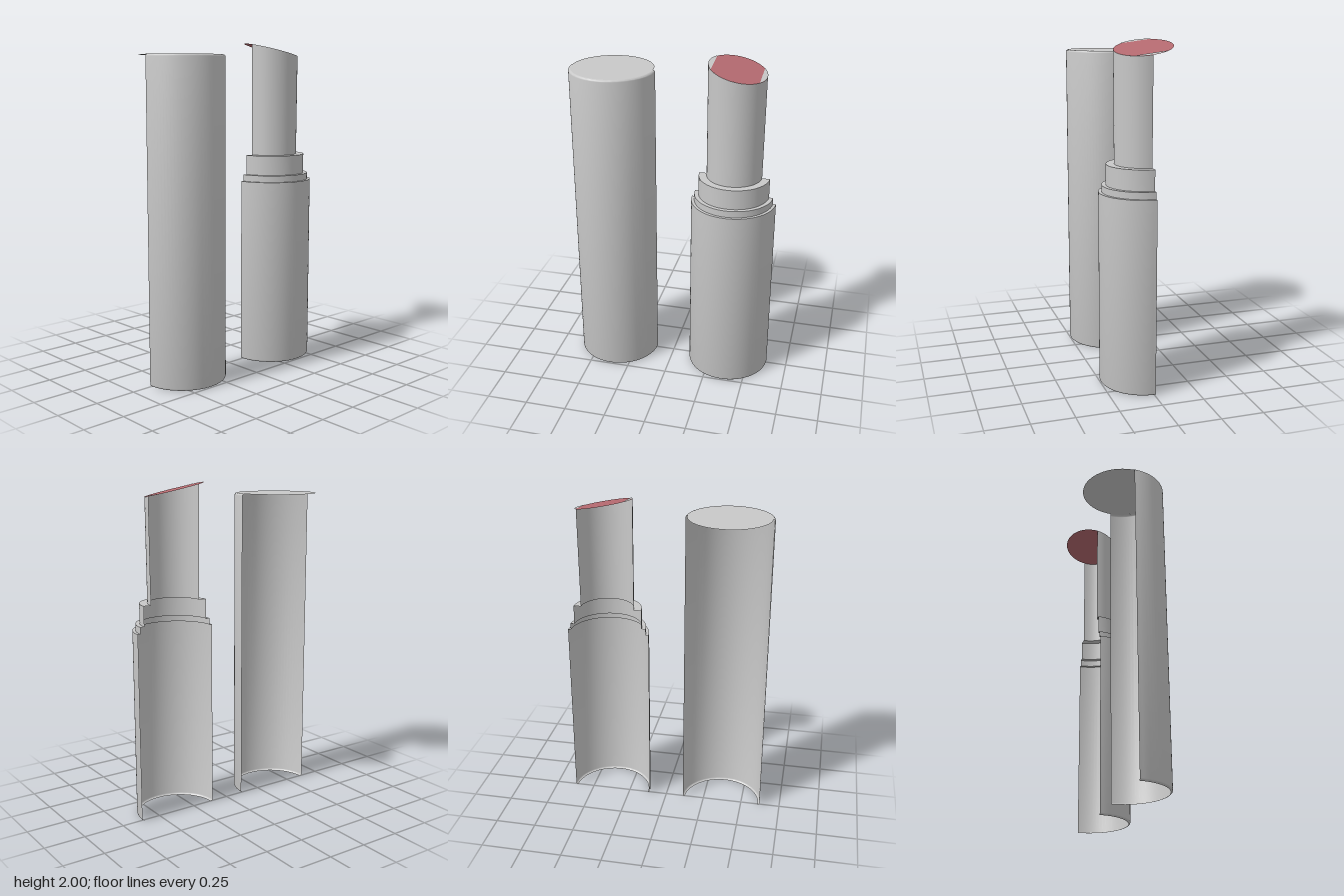
import * as THREE from 'three';
import { toCreasedNormals } from 'three/addons/utils/BufferGeometryUtils.js';

const SEGMENTS = 40;
const R = 0.255;        // outer radius of cap and base
const LIP = 0.243;      // radius where the rounded edge ends
const STICK = 0.168;    // radius of the product
const Z = -0.006;       // axis position

const slantY = (x, z) => 1.96 - 0.2 * x - 0.13 * z;

export function createModel() {
  const grey = new THREE.MeshStandardMaterial({ name: 'grey casing', color: 0xc8c8c8, side: THREE.DoubleSide });
  const red = new THREE.MeshStandardMaterial({ name: 'rose product', color: 0xb56a70, side: THREE.DoubleSide });
  const greyFace = new THREE.MeshStandardMaterial({ name: 'grey top face', color: 0xc8c8c8 });

  const add = (parent, name, geometry, material) => {
    const mesh = new THREE.Mesh(geometry, material);
    mesh.name = name;
    parent.add(mesh);
    return mesh;
  };

  // Front half of a turned shell, open at the back
  const halfShell = (profile) => toCreasedNormals(new THREE.LatheGeometry(
    profile.map(([r, y]) => new THREE.Vector2(r, y)), SEGMENTS, -Math.PI / 2, Math.PI), 0.7);

  // Small rounded lip at the foot of both tubes
  const foot = [[LIP, 0], [0.249, 0.002], [0.2535, 0.006], [R, 0.012]];

  // Cap: half tube with a full round top
  const cap = new THREE.Group();
  cap.name = 'cap';
  cap.position.set(-0.368, 0, Z);
  const capHead = foot.map(([r, y]) => [r, 1.92 - y]).reverse();
  add(cap, 'capTube', halfShell([...foot, ...capHead]), grey);
  const lid = new THREE.CircleGeometry(LIP, 64);
  lid.rotateX(-Math.PI / 2);
  add(cap, 'capTop', lid, grey).position.y = 1.92;

  // Base: half tube, stepped collar and product shell
  const base = new THREE.Group();
  base.name = 'base';
  base.position.set(0.367, 0, Z);
  add(base, 'baseTube', halfShell([...foot, [R, 1.15], [0.237, 1.15]]), grey);
  add(base, 'lowerCollar', halfShell([[0.237, 1.15], [0.237, 1.19], [0.212, 1.19]]), grey);
  add(base, 'upperCollar', halfShell([[0.212, 1.19], [0.212, 1.31], [0.165, 1.31]]), grey);

  // Lay every vertex above the collar onto the slanted cut
  const slant = (geometry, lift = 0) => {
    const p = geometry.attributes.position;
    for (let i = 0; i < p.count; i++) {
      if (p.getY(i) > 1.5) p.setY(i, slantY(p.getX(i), p.getZ(i)) + lift);
    }
    return geometry;
  };
  add(base, 'productTube', slant(halfShell([[0.165, 1.31], [STICK, 1.9]])), grey);

  const flat = (geometry, lift) => {
    geometry.rotateX(-Math.PI / 2);
    geometry.translate(0, 1.9, 0);
    slant(geometry, lift);
    geometry.computeVertexNormals();
    return geometry;
  };
  add(base, 'slantedTop', flat(new THREE.CircleGeometry(STICK, 64), 0), red);

  // Grey crescents along both sides of the slanted top
  const half = Math.acos(0.138 / STICK);
  for (const [name, mid] of [['leftCrescent', 0], ['rightCrescent', Math.PI]]) {
    const shape = new THREE.Shape();
    shape.absarc(0, 0, STICK, mid - half, mid + half, false);
    shape.closePath();
    add(base, name, flat(new THREE.ShapeGeometry(shape, 16), 0.002), greyFace);
  }

  const model = new THREE.Group();
  model.name = 'lipstick';
  model.add(cap, base);
  return model;
}
